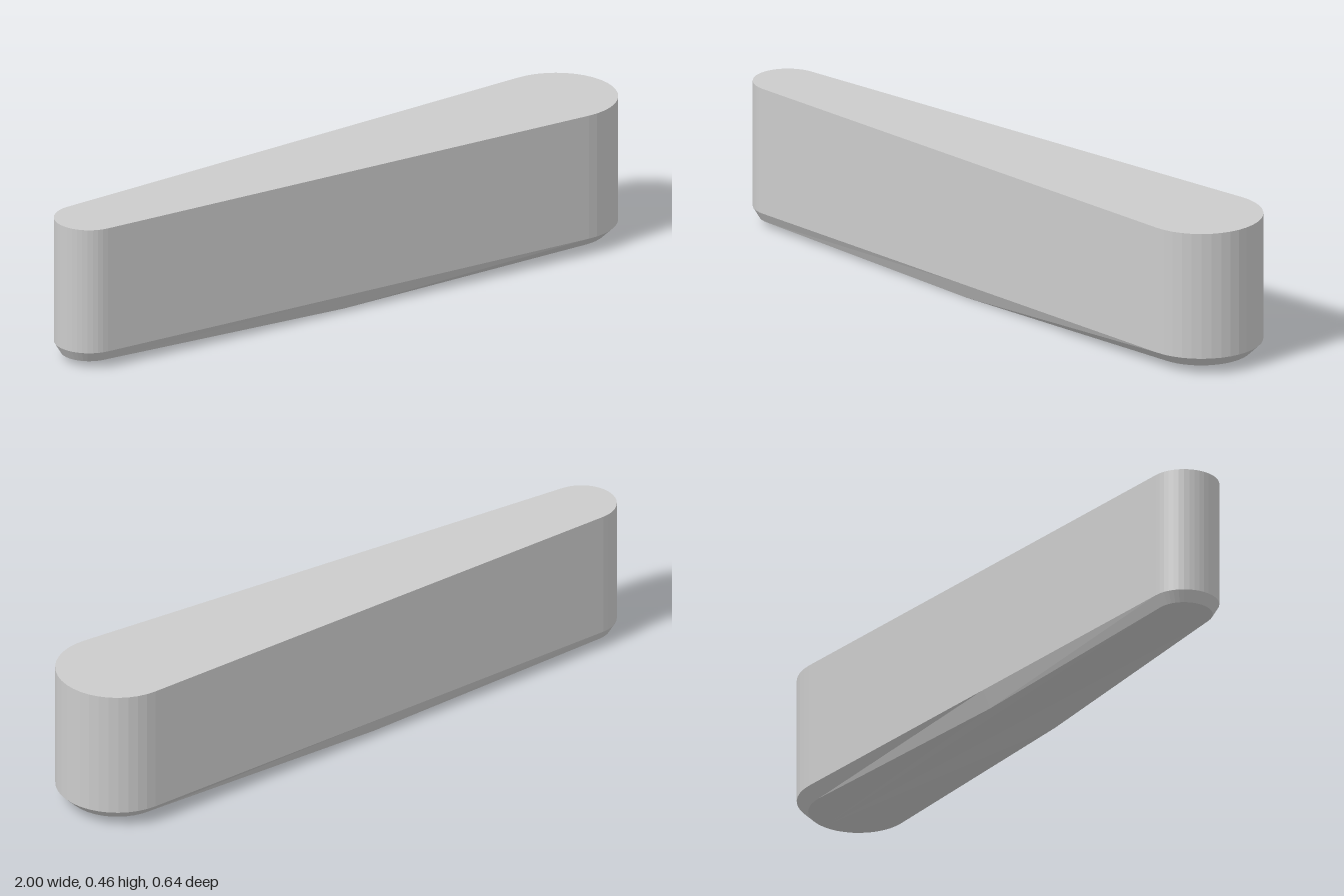
import * as THREE from 'three';

const SEG = 20; // facets per rounded end
const SMALL = { x: -0.892, z: -0.217, r: 0.108 };
const BIG = { x: 0.81, z: 0.13, r: 0.19 };

// Tapered outline with round ends and a midpoint on each long side
function outline(scale, y, midY) {
  const dx = BIG.x - SMALL.x, dz = BIG.z - SMALL.z;
  const axis = Math.atan2(dz, dx);
  const spread = Math.acos((SMALL.r - BIG.r) / Math.hypot(dx, dz));
  const arc = (c, from, to) => Array.from({ length: SEG + 1 }, (_, i) => {
    const a = from + (to - from) * i / SEG;
    return new THREE.Vector3(c.x + c.r * scale * Math.cos(a), y, c.z + c.r * scale * Math.sin(a));
  });
  const big = arc(BIG, axis - spread, axis + spread);
  const small = arc(SMALL, axis + spread, axis + 2 * Math.PI - spread);
  const mid = (a, b) => a.clone().lerp(b, 0.5).setY(midY);
  return [...big, mid(big[SEG], small[0]), ...small, mid(small[SEG], big[0])];
}

export function createModel() {
  const rings = [
    outline(0.815, 0.02, 0.0), // underside edge, bulging down at the middle
    outline(1, 0.054, 0.054),  // top of the chamfer
    outline(1, 0.459, 0.459),  // top edge
  ];
  const n = rings[0].length;
  const points = [];

  // Chamfer and upright wall
  for (let k = 0; k < 2; k++) {
    const lo = rings[k], hi = rings[k + 1];
    for (let i = 0; i < n; i++) {
      const j = (i + 1) % n;
      points.push(lo[i], hi[i], lo[j], lo[j], hi[i], hi[j]);
    }
  }

  // Top and underside, fanned from the tip of the wide end
  const tip = SEG / 2 - 1;
  for (let s = 1; s < n - 1; s++) {
    const i = (tip + s) % n, j = (tip + s + 1) % n;
    points.push(rings[2][tip], rings[2][j], rings[2][i]);
    points.push(rings[0][tip], rings[0][i], rings[0][j]);
  }

  const geometry = new THREE.BufferGeometry().setFromPoints(points);
  geometry.computeVertexNormals();
  const body = new THREE.Mesh(geometry, new THREE.MeshStandardMaterial({ color: 0xcccccc, flatShading: true }));
  body.name = 'taperedBody';

  const group = new THREE.Group();
  group.name = 'taperedBlock';
  group.add(body);
  return group;
}
